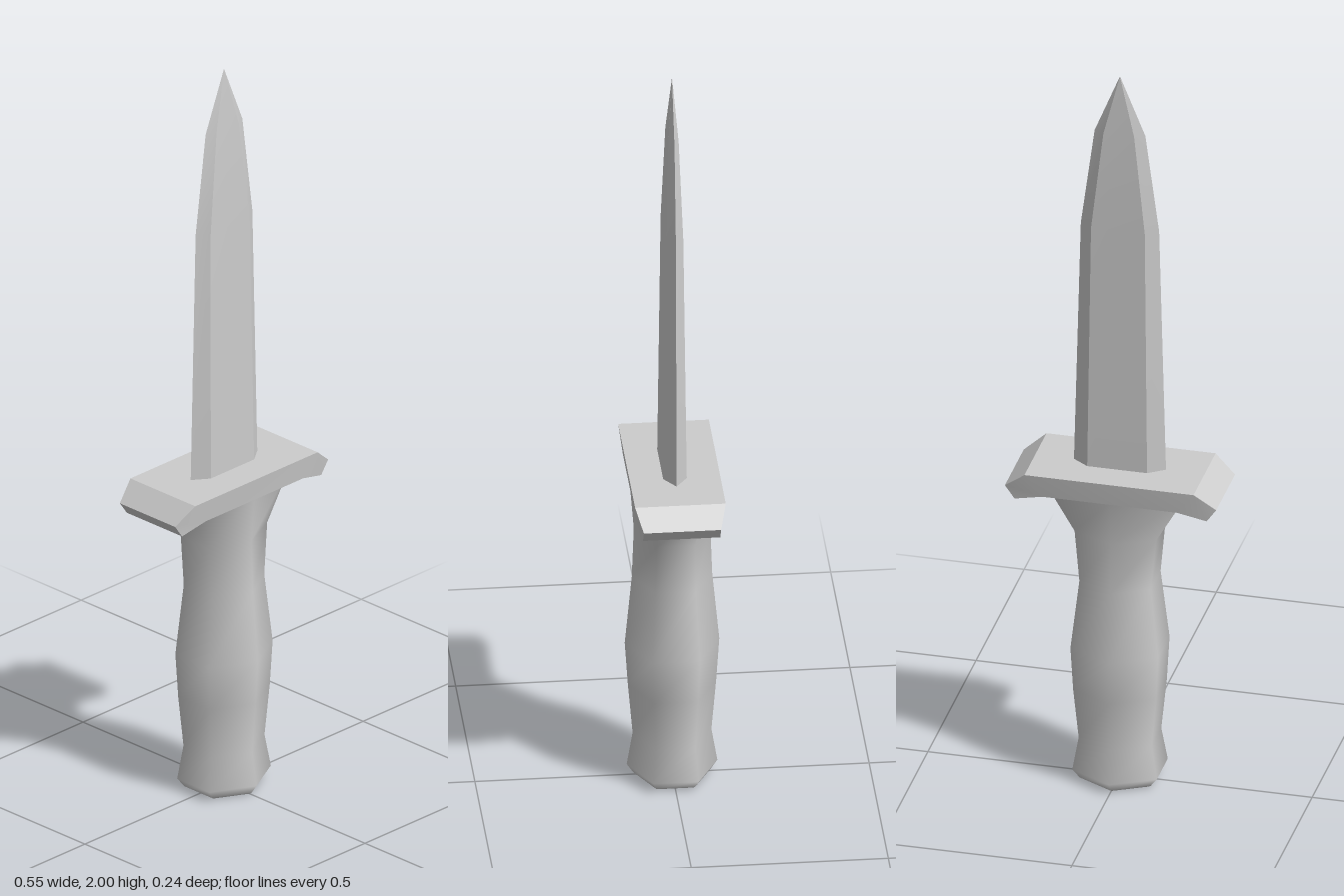
import * as THREE from 'three';
import { toCreasedNormals } from 'three/addons/utils/BufferGeometryUtils.js';

const material = new THREE.MeshStandardMaterial({ color: 0xcccccc });

// Skin a list of rings (equal point counts); caps are added on request.
function loft(rings, capStart, capEnd) {
  const n = rings[0].length;
  const points = rings.flat();
  const index = [];
  for (let r = 0; r < rings.length - 1; r++) {
    for (let i = 0; i < n; i++) {
      const a = r * n + i, b = r * n + (i + 1) % n;
      index.push(a, a + n, b, b, a + n, b + n);
    }
  }
  // Caps have their own vertices so their rims stay sharp
  const cap = (ring, flip) => {
    const s = points.length;
    points.push(...ring);
    for (let i = 1; i < n - 1; i++) {
      index.push(s, s + (flip ? i + 1 : i), s + (flip ? i : i + 1));
    }
  };
  if (capStart) cap(rings[0], false);
  if (capEnd) cap(rings[rings.length - 1], true);
  const geometry = new THREE.BufferGeometry();
  geometry.setAttribute('position', new THREE.Float32BufferAttribute(points.flat(), 3));
  geometry.setIndex(index);
  geometry.computeVertexNormals();
  return geometry;
}

function addPart(group, name, geometry) {
  const mesh = new THREE.Mesh(geometry, material);
  mesh.name = name;
  group.add(mesh);
}

export function createModel() {
  const group = new THREE.Group();
  group.name = 'dagger';

  // Blade: flattened hexagon [y, edge half-width, flat half-width, half-thickness]
  const blade = [
    [0.88, 0.12, 0.078, 0.03],
    [1.57, 0.102, 0.07, 0.022],
    [1.84, 0.066, 0.04, 0.013],
    [2.0, 0.001, 0.0005, 0.0005],
  ].map(([y, w, f, t]) => [
    [w, y, 0], [f, y, t], [-f, y, t], [-w, y, 0], [-f, y, -t], [f, y, -t],
  ]);
  addPart(group, 'blade', toCreasedNormals(loft(blade, true, true), 0.2));

  // Guard: bar with drooping ends [top x, top y, bottom x, bottom y, top z, bottom z]
  const guard = [
    [-0.275, 0.845, -0.25, 0.81, 0.098, 0.098],
    [-0.22, 0.89, -0.175, 0.83, 0.115, 0.108],
    [0.22, 0.89, 0.175, 0.83, 0.115, 0.108],
    [0.275, 0.845, 0.25, 0.81, 0.098, 0.098],
  ].map(([tx, ty, bx, by, tz, bz]) => [
    [tx, ty, tz], [tx, ty, -tz], [bx, by, -bz], [bx, by, bz],
  ]);
  addPart(group, 'guard', toCreasedNormals(loft(guard, true, true), 0.2));

  // Grip: smooth six-sided handle [y, half-width x, half-depth z]
  const grip = [
    [0.005, 0.092, 0.098],
    [0.03, 0.11, 0.115],
    [0.12, 0.095, 0.1],
    [0.26, 0.108, 0.112],
    [0.38, 0.114, 0.12],
    [0.57, 0.093, 0.102],
    [0.71, 0.106, 0.097],
    [0.835, 0.178, 0.107],
  ].map(([y, w, d]) => [
    [w, y, -d / 2], [w, y, d / 2], [0, y, d],
    [-w, y, d / 2], [-w, y, -d / 2], [0, y, -d],
  ]);
  addPart(group, 'grip', loft(grip, false, false));

  // Pommel: flat base closing the grip
  const base = grip[0].map(([x, , z]) => [x * 0.92, 0, z * 0.92]);
  addPart(group, 'pommel', toCreasedNormals(loft([base, grip[0]], true, false), 0.4));

  return group;
}
